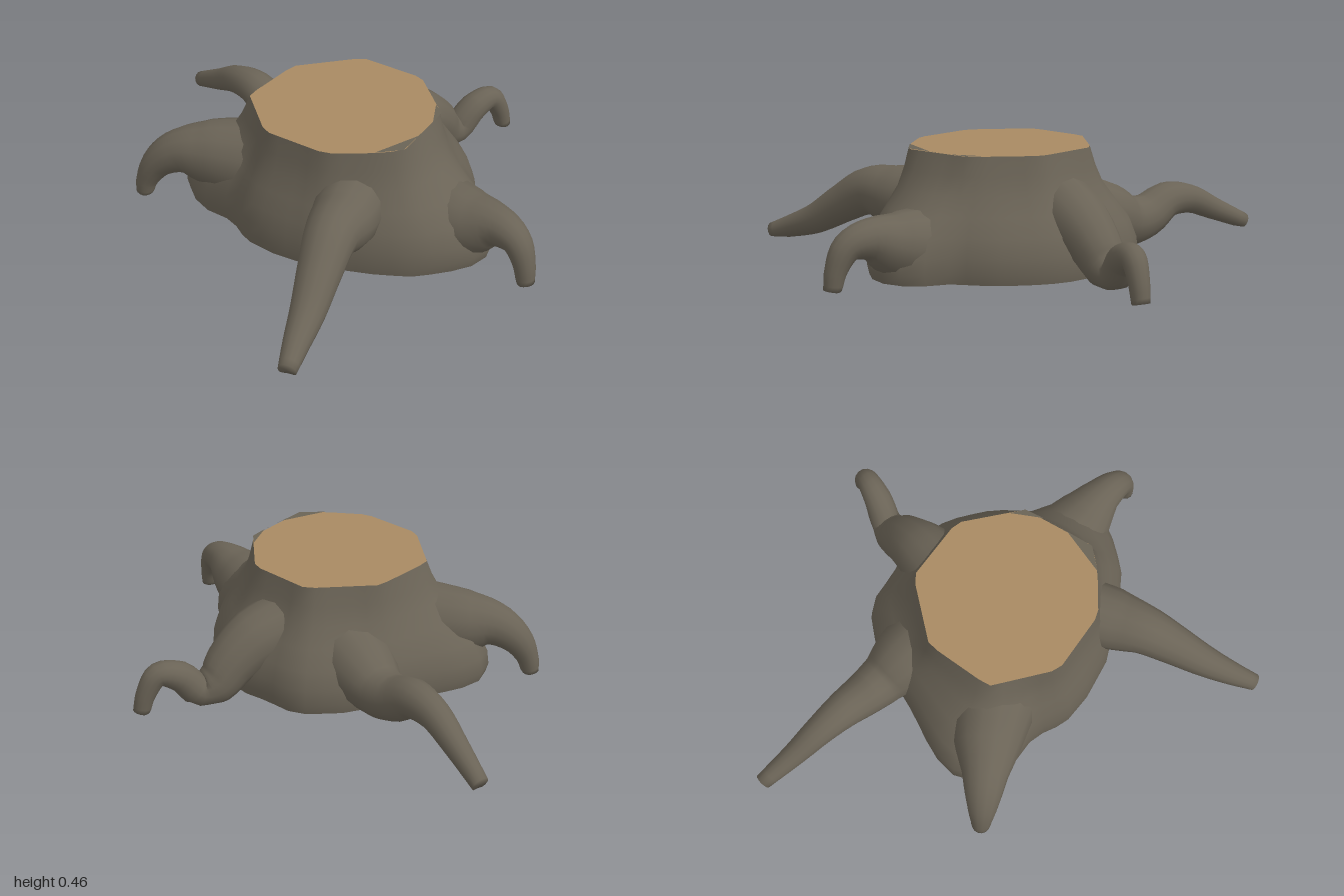
import * as THREE from 'three';

const bark = new THREE.MeshStandardMaterial({ color: 0x6a6356 });
bark.name = 'bark';
const cutWood = new THREE.MeshStandardMaterial({ color: 0xa88a62 });
cutWood.name = 'cutWood';

const CX = -0.09, CZ = 0.19, TOP = 0.455, SIDES = 48;

// Outlines in plan, [x, z], going round from +x towards +z
const topOutline = [
  [0.27, 0.17], [0.17, 0.43], [-0.1, 0.565], [-0.2, 0.52], [-0.35, 0.42],
  [-0.45, 0.17], [-0.36, -0.09], [-0.1, -0.19], [0.17, -0.09],
];
const baseOutline = [
  [0.44, 0.15], [0.42, 0.27], [0.37, 0.41], [0.27, 0.55], [0.25, 0.7], [0.12, 0.8],
  [-0.02, 0.77], [-0.15, 0.72], [-0.26, 0.63], [-0.43, 0.45], [-0.51, 0.3], [-0.55, 0.17],
  [-0.53, 0.03], [-0.58, -0.1], [-0.58, -0.25], [-0.5, -0.33], [-0.38, -0.355],
  [-0.18, -0.33], [0.1, -0.32], [0.25, -0.26], [0.31, -0.2], [0.35, -0.1], [0.41, 0],
];

// Distance from the trunk axis to an outline in direction (c, s)
function reach(outline, c, s) {
  for (let i = 0; i < outline.length; i++) {
    const [ax, az] = outline[i], [bx, bz] = outline[(i + 1) % outline.length];
    const px = ax - CX, pz = az - CZ, ex = bx - ax, ez = bz - az;
    const d = c * ez - s * ex;
    const r = (px * ez - pz * ex) / d, t = (px * s - pz * c) / d;
    if (r > 0 && t >= -1e-6 && t <= 1 + 1e-6) return r;
  }
  return 0.4;
}

// Smooth skin over a list of closed rings
function loft(rings) {
  const n = rings[0].length, index = [];
  for (let i = 0; i < rings.length - 1; i++) {
    for (let j = 0; j < n; j++) {
      const a = i * n + j, b = i * n + (j + 1) % n, c = a + n, d = b + n;
      index.push(a, c, b, b, c, d);
    }
  }
  const geo = new THREE.BufferGeometry().setFromPoints(rings.flat());
  geo.setIndex(index);
  geo.computeVertexNormals();
  return geo;
}

// Flat polygon at height y, facing up or down
function plate(outline, y, up) {
  const k = up ? -1 : 1;
  const shape = new THREE.Shape(outline.map(([x, z]) => new THREE.Vector2(x, k * z)));
  return new THREE.ShapeGeometry(shape).rotateX(k * Math.PI / 2).translate(0, y, 0);
}

// Tapering root through points [x, y, z, radius], kept above the ground
function rootGeometry(path) {
  const curve = new THREE.CatmullRomCurve3(path.map(p => new THREE.Vector3(p[0], p[1], p[2])));
  const first = path[0], last = path[path.length - 1];
  const side = new THREE.Vector3(last[2] - first[2], 0, first[0] - last[0]).normalize();
  const steps = (path.length - 1) * 4, n = 14, rings = [];
  for (let i = 0; i <= steps; i++) {
    const t = i / steps, f = t * (path.length - 1), k = Math.min(Math.floor(f), path.length - 2);
    const r = THREE.MathUtils.lerp(path[k][3], path[k + 1][3], f - k);
    const centre = curve.getPoint(t);
    const up = side.clone().cross(curve.getTangent(t)).normalize();
    rings.push(Array.from({ length: n }, (_, j) => {
      const a = j / n * Math.PI * 2;
      const p = centre.clone().addScaledVector(side, r * Math.cos(a)).addScaledVector(up, r * Math.sin(a));
      p.y = Math.max(0, p.y);
      return p;
    }));
  }
  // blunt closed tip
  const end = curve.getPoint(1);
  rings.push(Array.from({ length: n }, () => end.clone()));
  return loft(rings);
}

const roots = {
  frontRightRoot: [
    [-0.2, 0.22, 0.41, 0.14], [-0.34, 0.225, 0.53, 0.125], [-0.44, 0.235, 0.6, 0.1], [-0.54, 0.175, 0.68, 0.083],
    [-0.65, 0.095, 0.77, 0.065], [-0.75, 0.05, 0.85, 0.048], [-0.825, 0.02, 0.915, 0.034],
  ],
  frontRoot: [
    [0.08, 0.1, 0.55, 0.17], [0.12, 0.14, 0.71, 0.125], [0.15, 0.175, 0.82, 0.078],
    [0.165, 0.155, 0.905, 0.058], [0.17, 0.08, 0.95, 0.043], [0.17, 0, 0.967, 0.034],
  ],
  leftRoot: [
    [0.2, 0.23, 0.06, 0.14], [0.33, 0.2, 0.05, 0.125], [0.43, 0.14, 0.035, 0.105], [0.51, 0.065, 0.02, 0.085],
    [0.58, 0.05, 0.02, 0.065], [0.655, 0.125, 0.03, 0.06], [0.74, 0.15, 0.035, 0.048],
    [0.79, 0.08, 0.04, 0.04], [0.813, 0, 0.043, 0.034],
  ],
  backRoot: [
    [0.02, 0.17, -0.1, 0.16], [0, 0.13, -0.25, 0.14], [-0.015, 0.1, -0.36, 0.105], [-0.03, 0.11, -0.45, 0.092],
    [-0.055, 0.16, -0.56, 0.077], [-0.075, 0.155, -0.68, 0.062], [-0.09, 0.095, -0.82, 0.048],
    [-0.1, 0.025, -0.98, 0.034],
  ],
  backRightRoot: [
    [-0.36, 0.18, -0.05, 0.17], [-0.5, 0.2, -0.18, 0.13], [-0.59, 0.2, -0.25, 0.09],
    [-0.66, 0.145, -0.305, 0.066], [-0.7, 0.065, -0.335, 0.045], [-0.712, 0, -0.345, 0.035],
  ],
};

export function createModel() {
  const group = new THREE.Group();
  group.name = 'treeStump';
  const add = (name, geo, mat) => {
    const mesh = new THREE.Mesh(geo, mat);
    mesh.name = name;
    group.add(mesh);
  };

  // Trunk: [height, share of the base outline], flaring towards the ground
  const levels = [[0, 0.96], [0.04, 1], [0.1, 0.97], [0.17, 0.83], [0.24, 0.55], [0.31, 0.28], [0.38, 0.12], [TOP, 0]];
  const rings = levels.map(([y, w]) => Array.from({ length: SIDES }, (_, j) => {
    const a = j / SIDES * Math.PI * 2, c = Math.cos(a), s = Math.sin(a);
    const r = THREE.MathUtils.lerp(reach(topOutline, c, s), reach(baseOutline, c, s), w);
    return new THREE.Vector3(CX + r * c, y, CZ + r * s);
  }));
  add('trunk', loft(rings), bark);
  add('underside', plate(rings[0].map(p => [p.x, p.z]), 0, false), bark);

  // Sawn top with a sliver of bark left on its front edge
  add('cutTop', plate(rings[levels.length - 1].map(p => [p.x, p.z]), TOP, true), cutWood);
  const sliver = [[0.19, 0.37], [0.17, 0.43], [-0.1, 0.563], [-0.2, 0.52], [0, 0.515], [0.1, 0.47]];
  add('barkSliver', plate(sliver, TOP + 0.002, true), bark);

  for (const [name, path] of Object.entries(roots)) add(name, rootGeometry(path), bark);
  return group;
}
